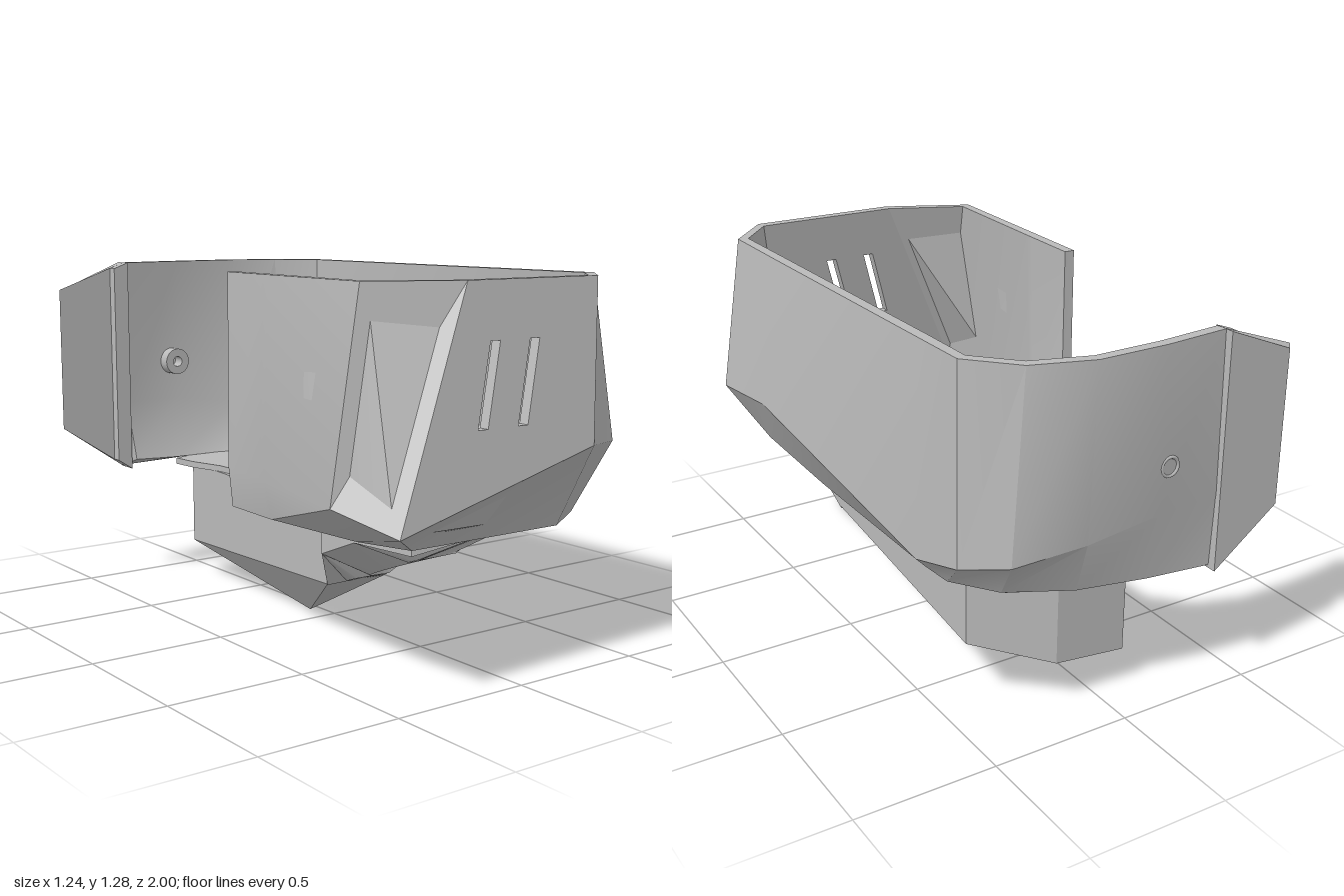
import * as THREE from 'three';
import { toCreasedNormals } from 'three/addons/utils/BufferGeometryUtils.js';
import { ConvexGeometry } from 'three/addons/geometries/ConvexGeometry.js';

const grey = new THREE.MeshStandardMaterial({ color: 0xbababa, side: THREE.DoubleSide });
grey.name = 'grey plastic';

function part(name, geometry) {
  const mesh = new THREE.Mesh(geometry, grey);
  mesh.name = name;
  return mesh;
}

const outline = (pts) => new THREE.Shape(pts.map(([x, y]) => new THREE.Vector2(x, y)));
const plate = (shape, depth) => new THREE.ExtrudeGeometry(shape, { depth, bevelEnabled: false, curveSegments: 24 });

// Motor opening with its four bolt holes, in (x, z)
function addHoles(shape) {
  const holes = [[0.06, 0.43, 0.18]];
  for (const sx of [-1, 1]) for (const sz of [-1, 1]) holes.push([0.06 + sx * 0.17, 0.43 + sz * 0.17, 0.022]);
  for (const [x, z, r] of holes) shape.holes.push(new THREE.Path().absarc(x, z, r, 0, Math.PI * 2, true));
  return shape;
}

// Horizontal slab from an (x, z) outline, hanging down from y = top
const slab = (shape, top, depth) => plate(shape, depth).rotateX(Math.PI / 2).translate(0, top, 0);

// Wall rings: rim, widest line and lower edge, from the back tab round to the open side
const rim = [[-0.34, -0.97], [-0.1, -0.99], [0.15, -0.99], [0.36, -0.92], [0.5, -0.77], [0.506, -0.55], [0.533, 0.44],
  [0.54, 0.75], [0.39, 0.91], [-0.16, 0.896], [-0.46, 0.75], [-0.447, 0.24], [-0.446, 0.21],
  [-0.44, -0.02]].map(([x, z]) => [x, 1.28, z]);
const waist = [[-0.35, 0.72, -0.98], [-0.1, 0.72, -1], [0.17, 0.68, -0.99], [0.4, 0.63, -0.92], [0.515, 0.6, -0.79],
  [0.525, 0.53, -0.55], [0.61, 0.74, 0.44], [0.615, 0.7, 0.79], [0.31, 0.74, 0.99], [-0.5, 0.54, 1],
  [-0.57, 0.6, 0.75], [-0.47, 0.6, 0.24], [-0.467, 0.6, 0.21], [-0.445, 0.6, -0.02]];
const foot = [[-0.36, 0.46, -0.97], [-0.1, 0.47, -0.95], [0.15, 0.48, -0.91], [0.36, 0.48, -0.8], [0.45, 0.46, -0.62],
  [0.46, 0.46, -0.5], [0.47, 0.46, 0.25], [0.46, 0.46, 0.75], [0.27, 0.46, 0.87], [-0.34, 0.46, 0.86],
  [-0.43, 0.47, 0.7], [-0.44, 0.46, 0.24], [-0.44, 0.46, 0.21], [-0.43, 0.46, -0.02]];
const wall = 0.038;
const frontPanel = 8;

// Same ring moved inward by the wall thickness
function inset(ring) {
  return ring.map(([x, y, z], i) => {
    const a = ring[Math.max(i - 1, 0)], b = ring[Math.min(i + 1, ring.length - 1)];
    const dx = b[0] - a[0], dz = b[2] - a[2], l = Math.hypot(dx, dz);
    return [x - (dz / l) * wall, y, z + (dx / l) * wall];
  });
}

function shellGeometry() {
  // Inside, the wall slopes in to meet the floor
  const floorLine = [[-0.32, -0.92], [-0.15, -0.88], [0.05, -0.88], [0.3, -0.79], [0.4, -0.67], [0.42, -0.5], [0.42, 0.25],
    [0.42, 0.5], [0.3, 0.82], [-0.24, 0.82], [-0.29, 0.68], [-0.29, 0.24]].map(([x, z]) => [x, 0.486, z]);
  const innerFoot = [...floorLine, ...inset(foot).slice(floorLine.length)];
  const loops = [rim, waist, foot, innerFoot, inset(waist), inset(rim)];
  const p = [], n = loops.length, last = rim.length - 1;
  const quad = (a, b, c, d) => p.push(...a, ...b, ...d, ...b, ...c, ...d);
  for (let i = 0; i < last; i++) {
    for (let j = 0; j < n; j++) {
      if (i === frontPanel && (j === 0 || j === 4)) continue; // closed by the slotted panel
      const u = loops[j], v = loops[(j + 1) % n];
      quad(u[i + 1], v[i + 1], v[i], u[i]);
    }
  }
  // End faces of the wall
  const s = loops.map((l) => l[0]), e = loops.map((l) => l[last]);
  quad(s[0], s[1], s[4], s[5]);
  quad(s[1], s[2], s[3], s[4]);
  quad(e[5], e[4], e[1], e[0]);
  quad(e[4], e[3], e[2], e[1]);
  const g = new THREE.BufferGeometry();
  g.setAttribute('position', new THREE.Float32BufferAttribute(p, 3));
  return toCreasedNormals(g, 0.5);
}

// Leaning front panel with two slanted slots
function frontPanelGeometry() {
  const shape = outline([rim[frontPanel], waist[frontPanel], waist[frontPanel + 1], rim[frontPanel + 1]]);
  for (const x of [0, 0.163]) {
    shape.holes.push(outline([[x - 0.17, 0.83], [x - 0.13, 0.83], [x - 0.05, 1.095], [x - 0.09, 1.095]]));
  }
  const g = plate(shape, wall);
  const pos = g.attributes.position;
  for (let i = 0; i < pos.count; i++) {
    const lean = 1.0945 + 0.0251 * pos.getX(i) - 0.1518 * pos.getY(i);
    pos.setZ(i, pos.getZ(i) - wall + lean);
  }
  g.computeVertexNormals();
  return g;
}

// Front of the underbody: underside climbs towards the front and the left
function noseGeometry() {
  const shape = addHoles(outline([[-0.2, 0.23], [0.06, 0.23], [0.41, 0.23], [0.39, 0.5], [0.31, 0.68], [0.2, 0.77],
    [0, 0.78], [-0.2, 0.69], [-0.29, 0.5], [-0.29, 0.32]]));
  const g = slab(shape, 0.46, 0.3);
  const pos = g.attributes.position;
  for (let i = 0; i < pos.count; i++) {
    if (pos.getY(i) > 0.4) continue;
    const x = pos.getX(i), z = pos.getZ(i), d = Math.max(0, x - 0.06);
    const y = 0.2 + 0.5 * d + (0.4 + 1.8 * d) * (z - 0.25) + Math.max(0, z - 0.68) + 1.2 * Math.max(0, -x - 0.2);
    pos.setY(i, Math.min(0.44, y));
  }
  g.computeVertexNormals();
  return toCreasedNormals(g, 0.5);
}

// Flat tab with a slanted outer edge
function tabGeometry() {
  const g = plate(outline([[-0.62, 0.635], [-0.34, 0.45], [-0.34, 1.28], [-0.62, 1.18]]), 0.04).translate(0, 0, -1);
  const pos = g.attributes.position;
  for (let i = 0; i < pos.count; i++) {
    if (pos.getX(i) < -0.6 && pos.getZ(i) < -0.98) pos.setX(i, -0.585);
  }
  g.computeVertexNormals();
  return g;
}

export function createModel() {
  const model = new THREE.Group();
  model.name = 'housing';

  model.add(part('shellWall', shellGeometry()), part('frontPanel', frontPanelGeometry()));

  // Floor with the scooped open side
  const floor = addHoles(outline([[-0.17, -0.86], [-0.05, -0.9], [0.13, -0.88], [0.33, -0.78], [0.43, -0.6], [0.44, 0.3],
    [0.44, 0.7], [0.27, 0.84], [-0.31, 0.82], [-0.4, 0.68], [-0.4, 0.24], [-0.29, 0.24], [-0.29, 0.15],
    [-0.23, 0.25], [-0.2, 0.1], [-0.16, -0.15], [-0.15, -0.37], [-0.115, -0.5], [-0.12, -0.6], [-0.16, -0.75]]));
  model.add(part('floor', slab(floor, 0.485, 0.024)));

  // Faceted keel under the back half
  const keel = [[-0.11, 0.462, -0.83], [0.16, 0.462, -0.83], [0.41, 0.462, -0.67], [0.41, 0.462, 0.23],
    [-0.2, 0.462, 0.23], [-0.11, 0.14, -0.83], [0.16, 0.17, -0.83], [0.41, 0.24, -0.67], [0.41, 0.3, -0.25],
    [0.41, 0.36, 0.23], [0.06, 0.01, -0.3], [-0.04, 0, -0.1], [0.06, 0.19, 0.23], [-0.2, 0.195, 0.23]];
  model.add(part('keel', new ConvexGeometry(keel.map((v) => new THREE.Vector3(...v)))));
  model.add(part('nose', noseGeometry()));

  // Tab on the back wall and the step behind it
  model.add(part('backTab', tabGeometry()));
  const step = outline([[-0.4, 0.49], [-0.34, 0.45], [-0.34, 1.28], [-0.4, 1.258]]);
  model.add(part('tabStep', plate(step, 0.04).translate(0, 0, -0.963)));

  // Thin vent plates on the floor
  for (const [x, z] of [[0.055, -0.225], [0.13, -0.095]]) {
    const mesh = part('floorVent', new THREE.BoxGeometry(0.25, 0.006, 0.1));
    mesh.position.set(x, 0.484, z);
    mesh.rotation.y = Math.PI / 6;
    model.add(mesh);
  }

  // Screw boss inside the back wall and its ring outside
  const ring = new THREE.Shape().absarc(0, 0, 0.052, 0, Math.PI * 2);
  ring.holes.push(new THREE.Path().absarc(0, 0, 0.02, 0, Math.PI * 2, true));
  const boss = part('screwBoss', plate(ring, 0.06));
  boss.position.set(-0.13, 0.875, -0.965);
  const screwRing = part('screwRing', new THREE.TorusGeometry(0.032, 0.006, 6, 24));
  screwRing.position.set(-0.13, 0.875, -0.994);
  model.add(boss, screwRing);

  return model;
}
